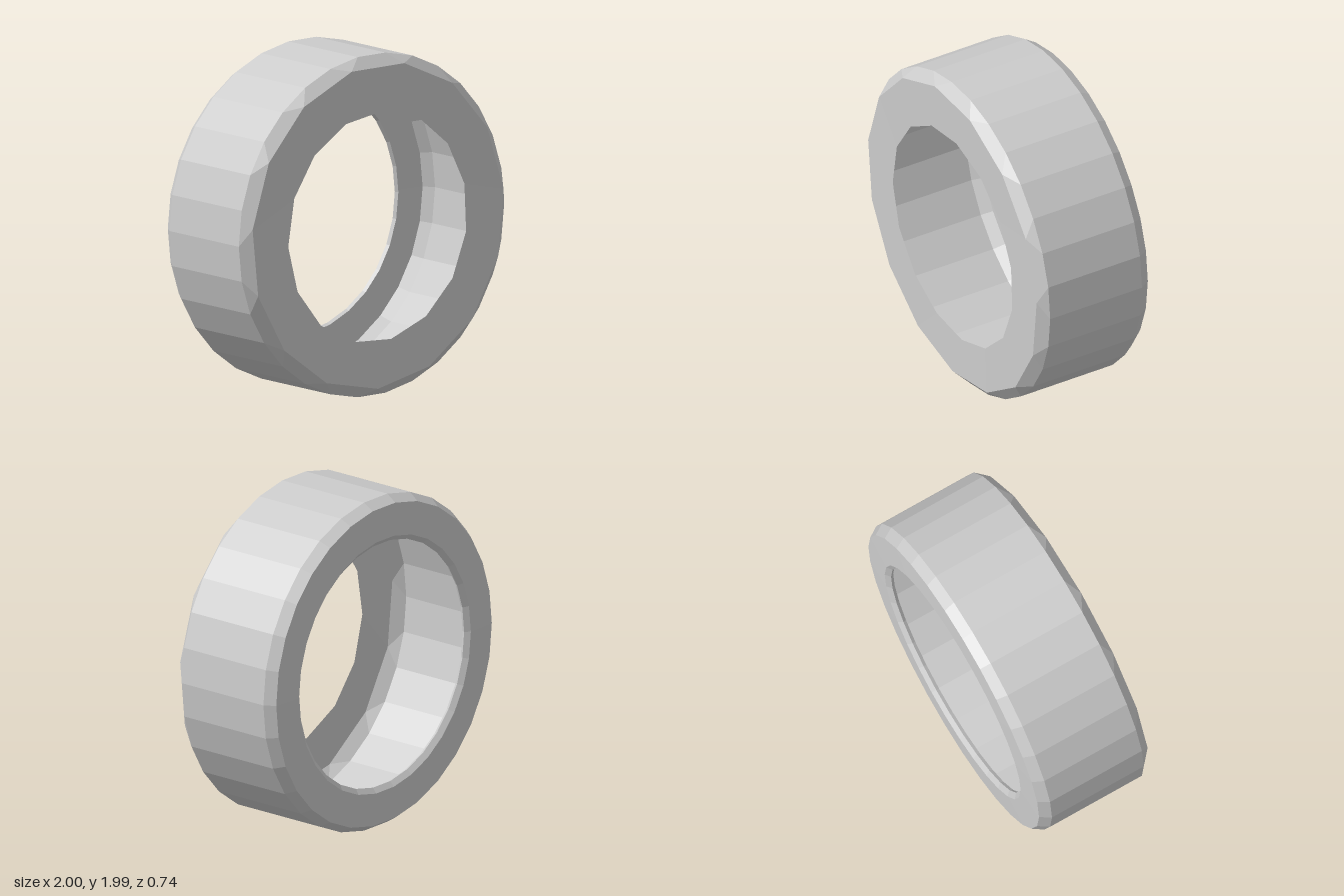
import * as THREE from 'three';

const material = new THREE.MeshStandardMaterial({ color: 0xcccccc, flatShading: true, side: THREE.DoubleSide });
const CENTER_Y = 0.994;

// Point on a circle around the z axis, angle in degrees
function polar(r, deg, z) {
  const a = THREE.MathUtils.degToRad(deg);
  return [r * Math.cos(a), r * Math.sin(a), z];
}

function facetMesh(name, triangles) {
  const geometry = new THREE.BufferGeometry();
  geometry.setAttribute('position', new THREE.Float32BufferAttribute(triangles.flat(2), 3));
  geometry.computeVertexNormals();
  const mesh = new THREE.Mesh(geometry, material);
  mesh.name = name;
  return mesh;
}

// 30-sided ring turned from an (r, z) profile
function turnedRing(name, profile) {
  const points = profile.map(([r, z]) => new THREE.Vector2(r, z));
  const geometry = new THREE.LatheGeometry(points, 30, THREE.MathUtils.degToRad(6));
  geometry.rotateX(Math.PI / 2);
  const mesh = new THREE.Mesh(geometry, material);
  mesh.name = name;
  return mesh;
}

export function createModel() {
  const tire = new THREE.Group();
  tire.name = 'tire';

  // Lip that narrows into the rear opening
  tire.add(turnedRing('rearLip', [[0.745, -0.325], [0.735, -0.345], [0.765, -0.37]]));
  // Thin shell: rear wall, then rear shoulder and tread
  tire.add(turnedRing('rearWall', [[0.765, -0.37], [0.96, -0.363]]));
  tire.add(turnedRing('tread', [[0.96, -0.363], [1, -0.3], [1, 0.312]]));

  // Front shoulder steps from 30 sides down to 15; front wall twists to the opening
  const shoulder = [], wall = [];
  for (let j = 0; j < 15; j++) {
    const a = -90 + 24 * j;
    const t0 = polar(1, a - 6, 0.312), t1 = polar(1, a + 6, 0.312), t2 = polar(1, a + 18, 0.312);
    const s0 = polar(0.95, a, 0.37), s1 = polar(0.95, a + 24, 0.37);
    const h0 = polar(0.675, a + 8.6, 0.367), h1 = polar(0.675, a + 32.6, 0.367);
    for (const h of [h0, h1]) h[1] -= 0.004;
    shoulder.push([t0, t1, s0], [t1, t2, s1], [t1, s1, s0]);
    wall.push([s0, s1, h0], [s1, h1, h0]);
  }
  tire.add(facetMesh('frontShoulder', shoulder), facetMesh('frontWall', wall));

  tire.position.y = CENTER_Y;
  const model = new THREE.Group();
  model.name = 'tireModel';
  model.add(tire);
  return model;
}
